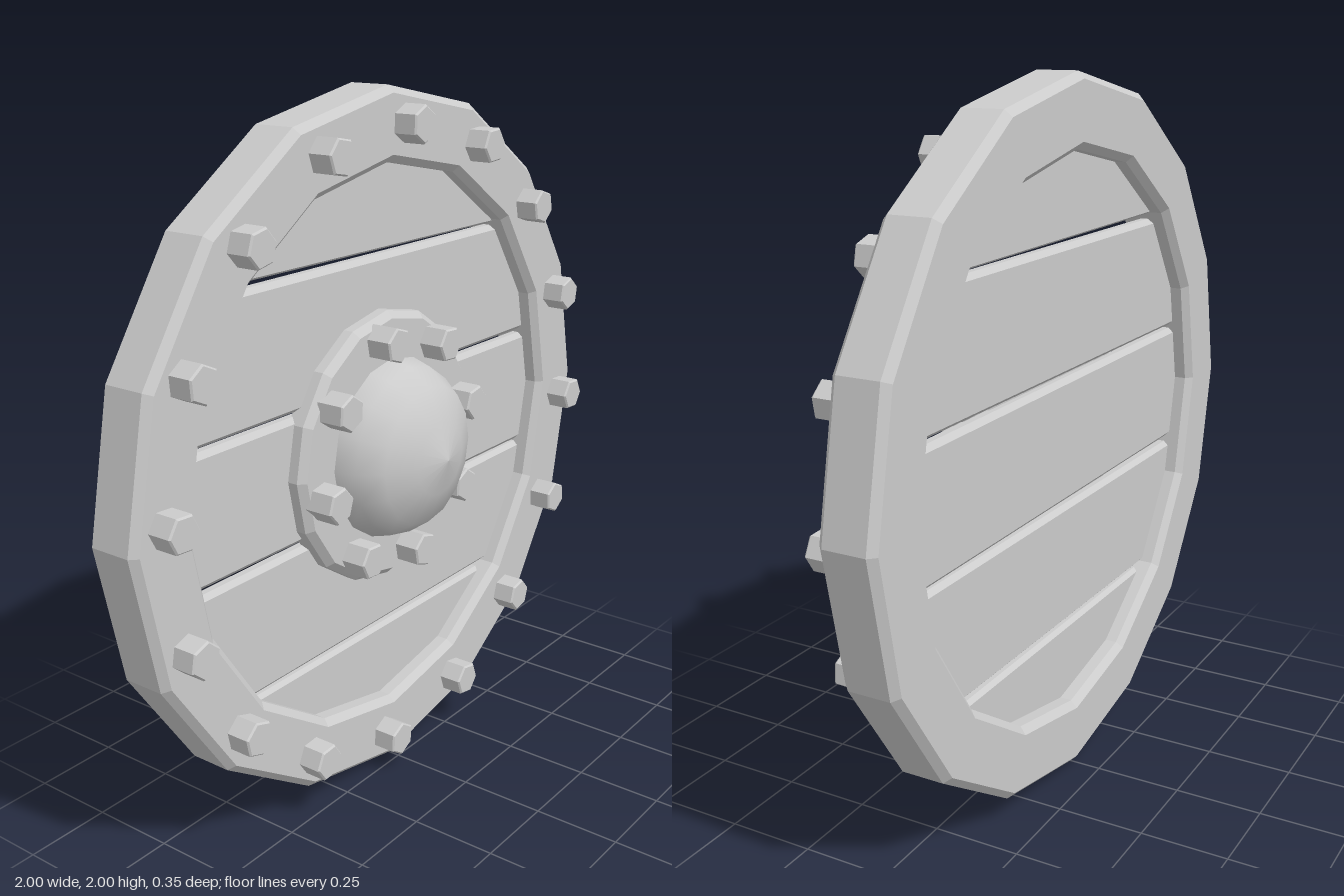
import * as THREE from 'three';

export function createModel() {
  const shield = new THREE.Group();
  shield.name = 'roundShield';
  const body = new THREE.Group();
  body.name = 'shieldBody';
  body.position.y = 1;
  shield.add(body);

  const flat = new THREE.MeshStandardMaterial({ color: 0xcccccc, flatShading: true });
  const smooth = new THREE.MeshStandardMaterial({ color: 0xcccccc, side: THREE.DoubleSide });

  const add = (name, geometry, material = flat) => {
    const mesh = new THREE.Mesh(geometry, material);
    mesh.name = name;
    body.add(mesh);
    return mesh;
  };

  // Turns a [radius, z] profile around the z axis
  const turned = (profile, sides) =>
    new THREE.LatheGeometry(profile.map(([r, z]) => new THREE.Vector2(r, z)), sides).rotateX(Math.PI / 2);

  // Chamfered sixteen-sided rim
  const c = 0.02, back = -0.175, front = -0.015;
  add('rim', turned([
    [0.82, back], [1 - c, back], [1, back + c], [1, front - c], [1 - c, front],
    [0.82, front], [0.8, front - c], [0.8, back + c], [0.82, back],
  ], 16));

  // Five planks, cut to a circle hidden inside the rim, each slightly tilted
  const R = 0.87, pitch = 0.375, gap = 0.012, bevel = 0.015;
  const tilts = [0, 0.005, -0.002, 0, -0.008];
  tilts.forEach((tilt, i) => {
    const mid = (i - 2) * pitch - 0.013;
    const low = Math.max(mid - (pitch - gap) / 2, -R + 0.01);
    const high = Math.min(mid + (pitch - gap) / 2, R - 0.01);
    const right = [], left = [], steps = 8;
    for (let k = 0; k <= steps; k++) {
      const y = low + (high - low) * k / steps;
      const x = Math.sqrt(R * R - y * y);
      right.push(new THREE.Vector2(x, y - mid));
      left.unshift(new THREE.Vector2(-x, y - mid));
    }
    const plank = add('plank', new THREE.ExtrudeGeometry(new THREE.Shape([...right, ...left]), {
      depth: 0.02, bevelEnabled: true, bevelSegments: 1,
      bevelSize: bevel, bevelThickness: bevel, bevelOffset: -bevel,
    }));
    plank.position.set(0, mid, -0.105);
    plank.rotation.z = tilt;
  });

  // Boss plate and dome in the middle
  add('bossPlate', turned([
    [0, -0.09], [0.395, -0.09], [0.395, -0.04], [0.375, -0.02], [0, -0.02],
  ], 16));
  add('bossDome', turned([
    [0.265, -0.06], [0.262, -0.02], [0.245, 0.04], [0.2, 0.105], [0.105, 0.147], [0, 0.175],
  ], 16), smooth);

  // Hexagonal bolts in rings; start is the clockwise angle from the top
  const boltGeometry = turned([
    [0, -0.03], [0.052, -0.03], [0.052, 0.05], [0.047, 0.055], [0, 0.055],
  ], 6);
  const boltRing = (name, count, radius, start) => {
    for (let i = 0; i < count; i++) {
      const a = start + i * 2 * Math.PI / count;
      const bolt = add(name, boltGeometry);
      bolt.position.set(radius * Math.sin(a), radius * Math.cos(a), 0);
      bolt.rotation.z = -a;
    }
  };
  boltRing('rimBolt', 16, 0.9, 0.056);
  boltRing('bossBolt', 8, 0.328, -0.197);

  return shield;
}
